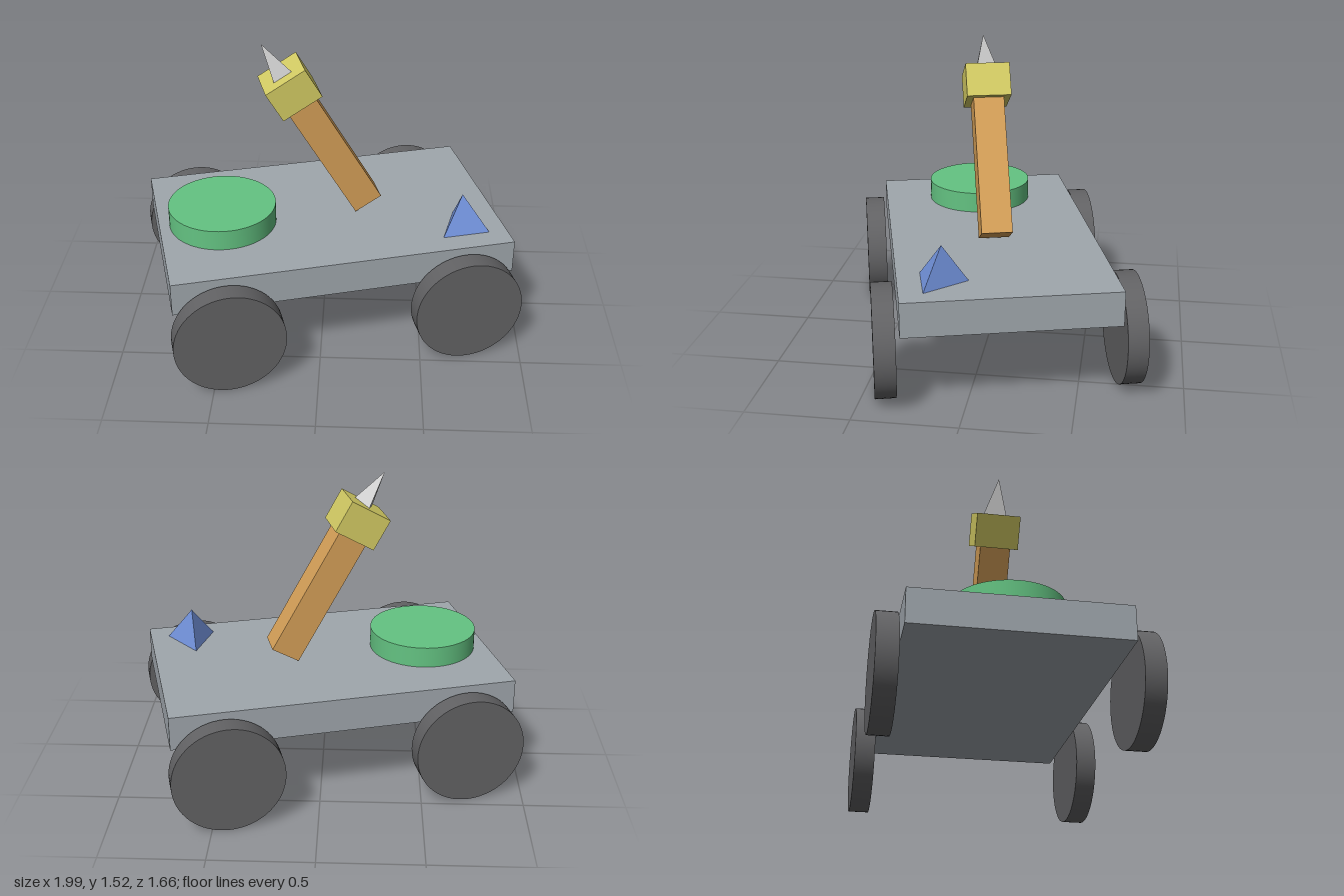
import * as THREE from 'three';
import { ConvexGeometry } from 'three/addons/geometries/ConvexGeometry.js';

const material = (name, color) => new THREE.MeshStandardMaterial({ name, color });

// Three-sided spike standing on y = 0, one corner to the back
function spikeGeometry(back, halfWidth, front, height) {
  return new ConvexGeometry([
    new THREE.Vector3(0, 0, -back),
    new THREE.Vector3(halfWidth, 0, front),
    new THREE.Vector3(-halfWidth, 0, front),
    new THREE.Vector3(0, height, 0),
  ]);
}

export function createModel() {
  const grey = material('body grey', 0xa0a7ad);
  const rubber = material('wheel dark grey', 0x626264);
  const green = material('disc green', 0x64c382);
  const orange = material('arm orange', 0xd6a058);
  const yellow = material('head yellow', 0xd4cc64);
  const silver = material('spike silver', 0xd2d2d2);
  const blue = material('marker blue', 0x7090d8);

  const model = new THREE.Group();
  model.name = 'rover';
  const rover = new THREE.Group();
  rover.name = 'roverBody';
  rover.rotation.y = Math.PI / 12;
  model.add(rover);

  function add(name, geometry, mat, x, y, z, parent = rover) {
    const mesh = new THREE.Mesh(geometry, mat);
    mesh.name = name;
    mesh.position.set(x, y, z);
    parent.add(mesh);
    return mesh;
  }

  // Flat deck
  add('deck', new THREE.BoxGeometry(1.695, 0.17, 1.015), grey, 0, 0.486, 0);

  // Four wheels beside the deck
  const wheel = new THREE.CylinderGeometry(0.271, 0.271, 0.1, 64).rotateX(Math.PI / 2);
  for (const [side, sx] of [['left', 1], ['right', -1]]) {
    for (const [end, sz] of [['Front', 1], ['Back', -1]]) {
      add(side + end + 'Wheel', wheel, rubber, sx * 0.593, 0.273, sz * 0.576);
    }
  }

  // Round disc and pointed marker on the deck
  add('disc', new THREE.CylinderGeometry(0.27, 0.27, 0.105, 64), green, -0.526, 0.6235, -0.004);
  add('marker', spikeGeometry(0.125, 0.119, 0.093, 0.18), blue, 0.636, 0.571, 0.302);

  // Leaning arm with its head and spike, built along its own y axis
  const arm = new THREE.Group();
  arm.name = 'arm';
  arm.position.set(0.2135, 0.62, 0);
  arm.rotation.z = Math.PI / 6;
  rover.add(arm);
  add('armBeam', new THREE.BoxGeometry(0.153, 0.69, 0.153), orange, 0, 0.345, 0, arm);
  add('armHead', new THREE.BoxGeometry(0.221, 0.168, 0.221), yellow, 0, 0.769, 0, arm);
  add('armSpike', spikeGeometry(0.063, 0.05, 0.047, 0.184), silver, 0, 0.853, 0, arm);

  return model;
}
